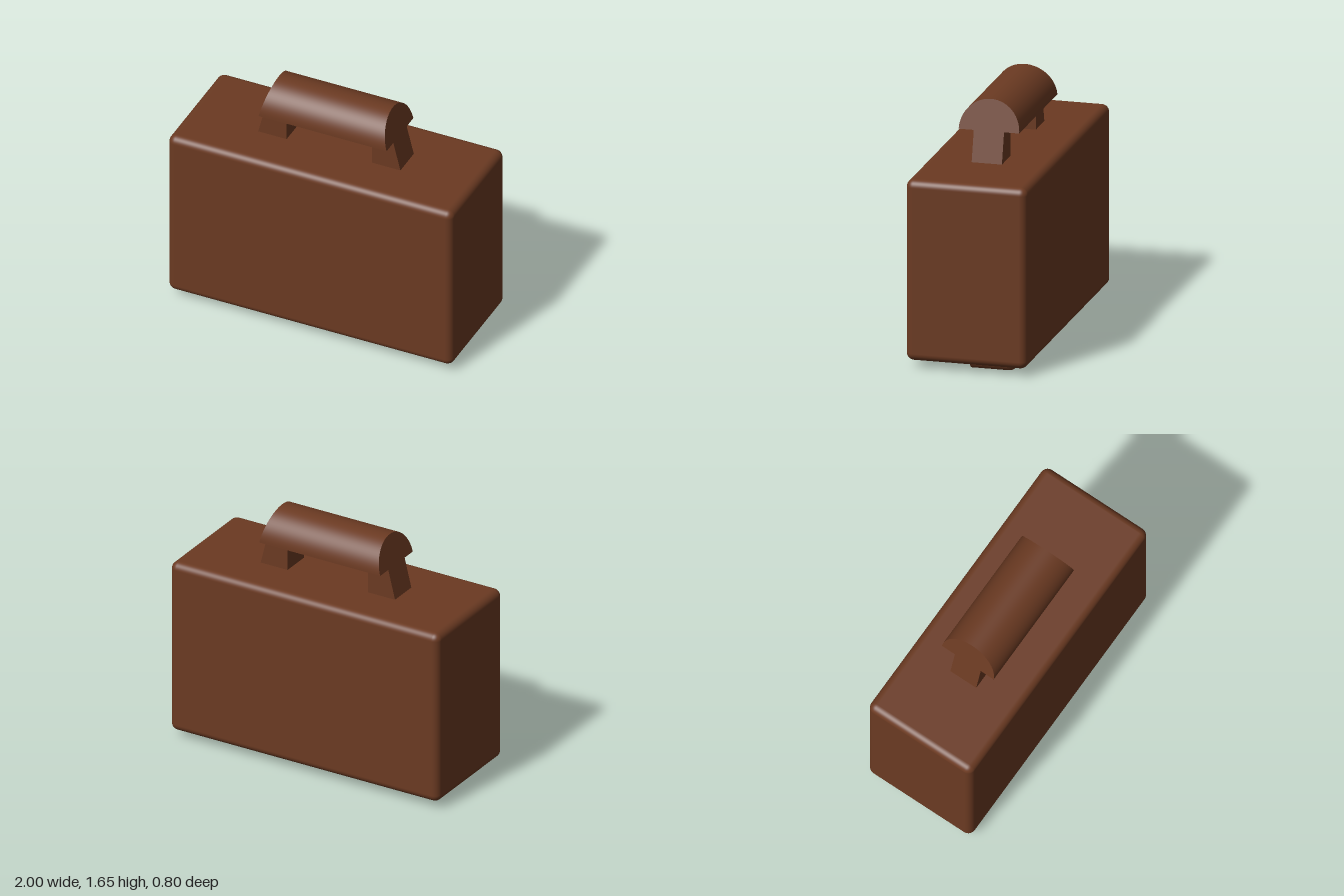
import * as THREE from 'three';
import { mergeGeometries } from 'three/addons/utils/BufferGeometryUtils.js';
import { RoundedBoxGeometry } from 'three/addons/geometries/RoundedBoxGeometry.js';

export function createModel() {
  const group = new THREE.Group();
  const leather = new THREE.MeshStandardMaterial({ color: 0x6b3a22 });
  const add = (name, geometry, parent = group) => {
    const mesh = new THREE.Mesh(geometry, leather);
    mesh.name = name;
    parent.add(mesh);
    return mesh;
  };

  // Case body with softly rounded edges
  add('caseBody', new RoundedBoxGeometry(2, 1.2, 0.8, 6, 0.05)).position.y = 0.65;

  // Handle: half-round grip with slanted ends on two tapered posts
  const handle = new THREE.Group();
  handle.name = 'handle';
  group.add(handle);

  const grip = new THREE.CylinderGeometry(0.2, 0.2, 0.9, 40, 1, false, 0, Math.PI);
  grip.rotateZ(Math.PI / 2);
  const p = grip.attributes.position;
  for (let i = 0; i < p.count; i++) {
    p.setX(i, Math.sign(p.getX(i)) * (0.45 - 0.25 * p.getY(i)));
  }
  grip.computeVertexNormals();
  const underside = new THREE.PlaneGeometry(0.9, 0.4).rotateX(Math.PI / 2);
  add('grip', mergeGeometries([grip, underside]), handle).position.y = 1.45;

  for (const side of [-1, 1]) {
    const outline = [[0.3, 1.25], [0.5, 1.25], [0.45, 1.45], [0.3, 1.45]];
    const shape = new THREE.Shape(outline.map(([x, y]) => new THREE.Vector2(side * x, y)));
    const post = new THREE.ExtrudeGeometry(shape, { depth: 0.2, bevelEnabled: false });
    add(side > 0 ? 'leftHandlePost' : 'rightHandlePost', post.translate(0, 0, -0.1), handle);
  }

  // Feet: half-sunk rods, flat at the middle and round at the outer end
  const foot = mergeGeometries([
    new THREE.CylinderGeometry(0.05, 0.05, 0.25, 24).translate(0, 0.125, 0),
    new THREE.SphereGeometry(0.05, 24, 8, 0, Math.PI * 2, 0, Math.PI / 2).translate(0, 0.25, 0),
  ]).rotateX(Math.PI / 2);
  for (const side of [-1, 1]) {
    const label = side > 0 ? 'Left' : 'Right';
    add(`front${label}Foot`, foot).position.set(side * 0.65, 0.05, 0);
    const back = add(`back${label}Foot`, foot);
    back.position.set(side * 0.85, 0.05, 0);
    back.rotation.y = Math.PI;
  }

  // Long thin rib under the middle of the case
  const rib = new THREE.CapsuleGeometry(0.02, 0.96, 8, 20).rotateZ(Math.PI / 2);
  add('bottomRib', rib).position.y = 0.05;

  return group;
}
